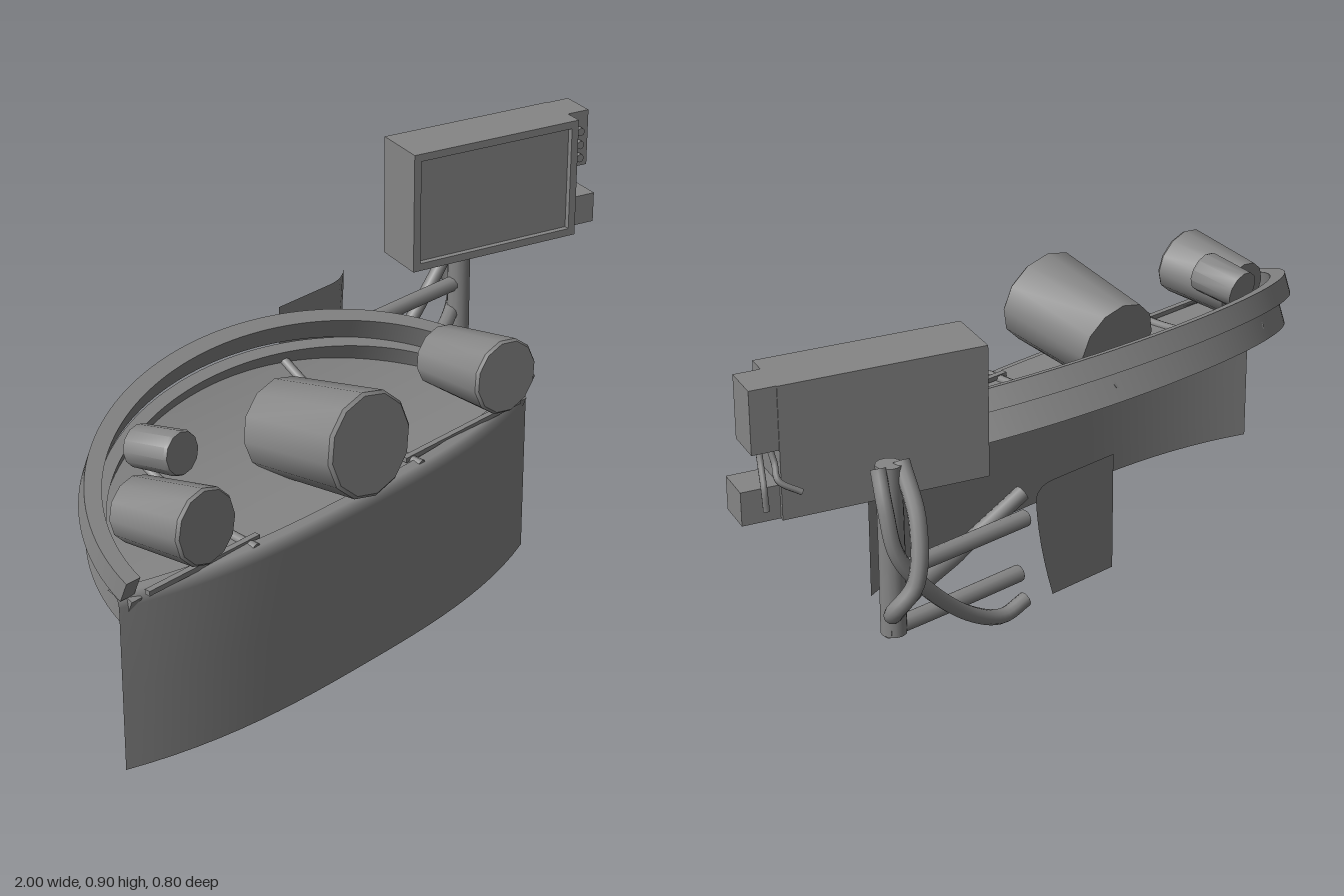
import * as THREE from 'three';
import { toCreasedNormals } from 'three/addons/utils/BufferGeometryUtils.js';

const material = new THREE.MeshStandardMaterial({ color: 0x868686, side: THREE.DoubleSide });
const V = (x, y, z) => new THREE.Vector3(x, y, z);

function add(parent, name, geometry, x = 0, y = 0, z = 0) {
  const mesh = new THREE.Mesh(geometry, material);
  mesh.name = name;
  mesh.position.set(x, y, z);
  parent.add(mesh);
  return mesh;
}

const box = (parent, name, w, h, d, x, y, z) =>
  add(parent, name, new THREE.BoxGeometry(w, h, d), x, y, z);

// Round bar along a list of points, closed at both ends
function bar(parent, name, radius, points, sides = 10) {
  const curve = new THREE.CatmullRomCurve3(points.map(p => V(...p)), false, 'centripetal');
  const group = new THREE.Group();
  group.name = name;
  parent.add(group);
  add(group, name + 'Tube', new THREE.TubeGeometry(curve, points.length * 6, radius, sides));
  for (const t of [0, 1]) {
    const p = curve.getPoint(t);
    const cap = add(group, name + 'End', new THREE.CircleGeometry(radius, sides), p.x, p.y, p.z);
    cap.quaternion.setFromUnitVectors(V(0, 0, 1), curve.getTangent(t).multiplyScalar(t ? 1 : -1));
  }
}

// Grid surface from a function of (u, v)
function sheet(nu, nv, fn) {
  const geometry = new THREE.PlaneGeometry(1, 1, nu, nv);
  const uv = geometry.attributes.uv, pos = geometry.attributes.position;
  for (let i = 0; i < pos.count; i++) pos.setXYZ(i, ...fn(uv.getX(i), uv.getY(i)));
  geometry.computeVertexNormals();
  return geometry;
}

// Half elliptical band with the given height
function archBand(rx, rz, width, height) {
  const shape = new THREE.Shape();
  shape.absellipse(0, 0, rx, rz, 0, Math.PI, false, 0);
  shape.lineTo(-rx + width, 0);
  shape.absellipse(0, 0, rx - width, rz - width, Math.PI, 0, true, 0);
  shape.closePath();
  const geometry = new THREE.ExtrudeGeometry(shape, { depth: height, bevelEnabled: false, curveSegments: 36 });
  return toCreasedNormals(geometry.rotateX(-Math.PI / 2), 0.6);
}

// Slightly flattened lamp or gauge housing from its back centre to its front centre
function housing(parent, name, back, front, r0, r1) {
  const a = V(...back), dir = V(...front).sub(a), length = dir.length();
  const profile = [[0, 0], [r0, 0], [r1, length - 0.007], [r1 * 0.94, length], [0, length]]
    .map(p => new THREE.Vector2(...p));
  const mesh = add(parent, name, toCreasedNormals(new THREE.LatheGeometry(profile, 12), 0.65), ...back);
  mesh.quaternion.setFromUnitVectors(V(0, 1, 0), dir.normalize());
  mesh.scale.z = 0.93;
}

// Dished tray floor: s runs -1..1 across, v runs 0..1 from front to back
function floorPoint(s, v) {
  const front = 0.355 - 0.09 * Math.abs(s) ** 2.8;
  const back = 0.265 - 0.4 * Math.sqrt(1 - s * s);
  const z = front + (back - front) * v;
  return [-0.33 + 0.64 * s, 0.433 + 0.15 * (Math.max(0, 0.36 - z) / 0.5) ** 2.3, z];
}

function buildConsole(root) {
  // Bowed front panel whose upper edge rolls back
  const rows = [[0, 0], [0.2, 0], [0.41, 0], [0.43, 0.004], [0.438, 0.015], [0.442, 0.035]];
  add(root, 'frontPanel', sheet(24, 5, (u, v) => {
    const s = 2 * u - 1, [y, inset] = rows[Math.round(v * 5)];
    return [-0.33 + 0.67 * s, y, 0.37 - 0.09 * Math.abs(s) ** 2.8 - inset];
  }));

  // Tray floor with ribs across it and trim strips along its front
  add(root, 'trayFloor', sheet(32, 12, (u, v) => floorPoint(Math.sin((u - 0.5) * Math.PI), v)));
  for (const s of [-0.5, 0.33]) {
    bar(root, 'trayRib', 0.012, [0, 0.25, 0.5, 0.75, 1].map(v => floorPoint(s, v)), 8);
  }
  for (const [x, w] of [[-0.785, 0.33], [0.065, 0.41]]) box(root, 'trimStrip', w, 0.012, 0.015, x, 0.442, 0.315);

  // Sloping rim, flared toward the top
  const rim = new THREE.Group();
  rim.name = 'rim';
  rim.position.set(-0.33, 0.43, 0.285);
  rim.rotation.x = 0.4;
  root.add(rim);
  add(rim, 'upperRim', archBand(0.67, 0.49, 0.04, 0.055));
  add(rim, 'lowerRim', archBand(0.65, 0.46, 0.03, 0.075), 0, -0.075, 0.015);

  housing(root, 'largeHousing', [-0.33, 0.532, 0.105], [-0.33, 0.58, 0.386], 0.12, 0.133);
  housing(root, 'rightHousing', [-0.82, 0.527, 0.143], [-0.805, 0.555, 0.352], 0.081, 0.094);
  housing(root, 'leftHousing', [0.198, 0.527, 0.13], [0.175, 0.553, 0.354], 0.081, 0.098);
  housing(root, 'smallHousing', [-0.7, 0.594, 0.03], [-0.687, 0.614, 0.155], 0.053, 0.056);
}

function buildMonitor(root) {
  const monitor = new THREE.Group();
  monitor.name = 'monitor';
  monitor.position.set(0.67, 0.742, -0.157);
  monitor.rotation.y = -0.302;
  root.add(monitor);

  // Case with a raised frame around the screen
  const w = 0.243, h = 0.158;
  box(monitor, 'monitorCase', 2 * w, 2 * h, 0.132, 0, 0, -0.004);
  const rect = (a, b) => [[a, -b], [a, b], [-a, b], [-a, -b]].map(p => new THREE.Vector2(...p));
  const frame = new THREE.Shape(rect(w, h));
  frame.holes.push(new THREE.Path(rect(w - 0.02, h - 0.02)));
  add(monitor, 'screenFrame', new THREE.ExtrudeGeometry(frame, { depth: 0.015, bevelEnabled: false }), 0, 0, 0.062);

  // Side control units with knobs
  box(monitor, 'controlUnit', 0.065, 0.15, 0.095, 0.273, 0.083, -0.02);
  for (let i = 0; i < 3; i++) {
    const knob = add(monitor, 'knob', new THREE.CylinderGeometry(0.011, 0.011, 0.018, 10), 0.275, 0.035 + i * 0.036, 0.034);
    knob.rotation.x = Math.PI / 2;
  }
  box(monitor, 'connectorBox', 0.09, 0.08, 0.09, 0.287, -0.117, -0.015);

  // Loose cables
  bar(root, 'cableInner', 0.008, [[0.945, 0.76, -0.105], [0.955, 0.72, -0.125], [0.975, 0.68, -0.16], [0.975, 0.63, -0.165]], 6);
  bar(root, 'cableOuter', 0.008, [[0.93, 0.76, -0.12], [0.93, 0.72, -0.14], [0.94, 0.69, -0.165], [0.9, 0.66, -0.193]], 6);
}

function buildStand(root) {
  // Post and two level arms
  bar(root, 'post', 0.03, [[0.718, 0.278, -0.265], [0.718, 0.5, -0.265], [0.718, 0.69, -0.262]], 12);
  bar(root, 'upperArm', 0.02, [[0.33, 0.425, -0.272], [0.55, 0.425, -0.27], [0.71, 0.425, -0.267]]);
  bar(root, 'lowerArm', 0.02, [[0.35, 0.29, -0.272], [0.55, 0.29, -0.27], [0.74, 0.29, -0.265]]);

  // Curved hoses
  bar(root, 'frontHose', 0.02, [[0.25, 0.425, -0.175], [0.42, 0.335, -0.157], [0.44, 0.328, -0.16], [0.62, 0.335, -0.23],
    [0.765, 0.36, -0.32], [0.78, 0.385, -0.345], [0.745, 0.45, -0.375], [0.71, 0.58, -0.345], [0.69, 0.69, -0.27]]);
  bar(root, 'rearHose', 0.018, [[0.38, 0.255, -0.325], [0.45, 0.24, -0.327], [0.55, 0.285, -0.33],
    [0.68, 0.4, -0.335], [0.755, 0.51, -0.325], [0.765, 0.61, -0.305], [0.75, 0.69, -0.265]]);

  // Thin mounting sheet with a slanted side that curls back
  add(root, 'mountingSheet', sheet(12, 6, (u, v) => {
    const x = 0.112 + u * (0.19 + 0.093 * v);
    return [x, 0.242 + 0.293 * v, -0.333 - 0.04 * Math.max(0, (x - 0.3) / 0.09) ** 2];
  }));
}

export function createModel() {
  const root = new THREE.Group();
  root.name = 'controlConsole';
  buildConsole(root);
  buildMonitor(root);
  buildStand(root);
  return root;
}
